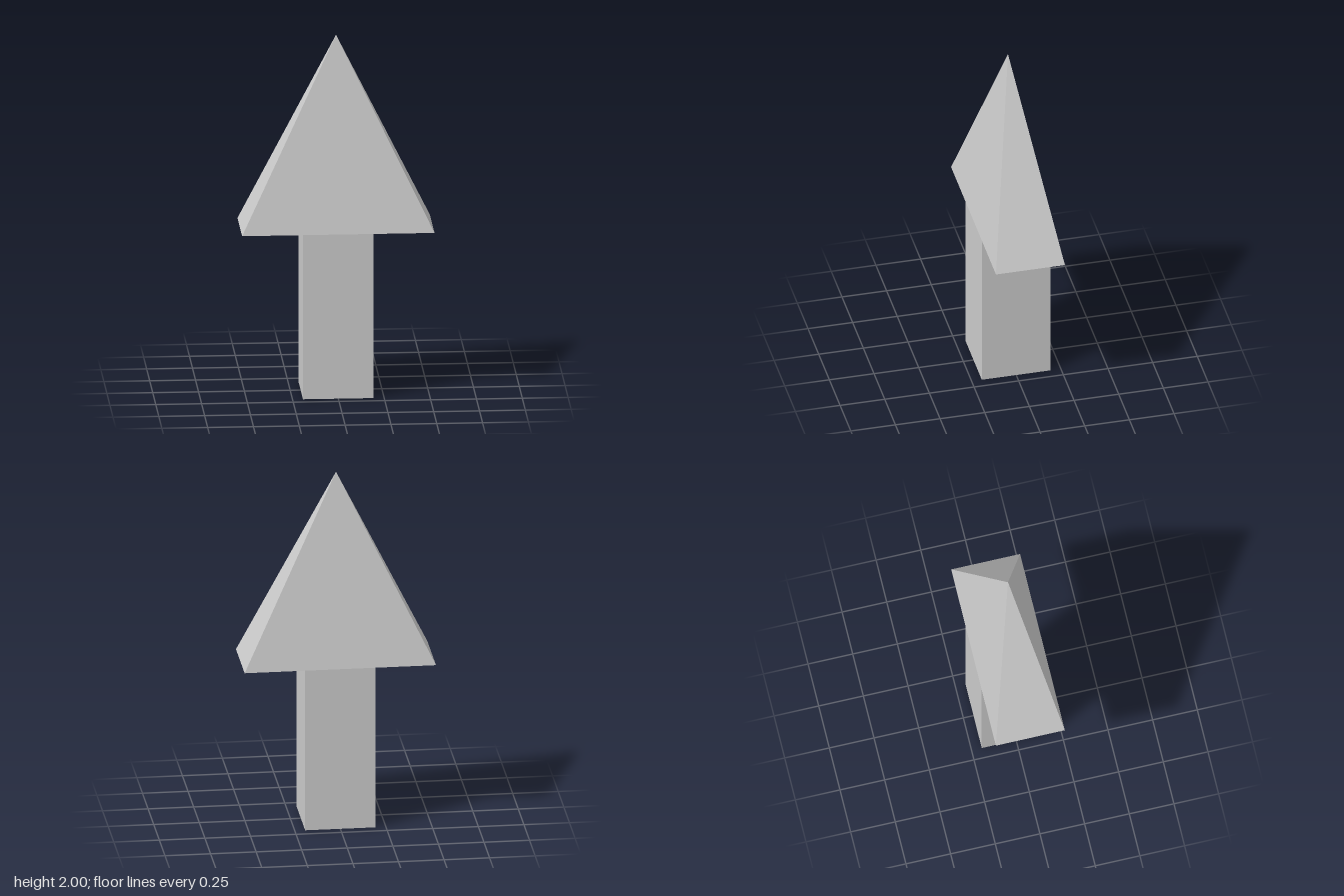
import * as THREE from 'three';

const HEIGHT = 2;
const SHAFT_HEIGHT = 0.925;
const DEPTH = 0.386; // shared by shaft and head
const HEAD_WIDTH = 1.05;

export function createModel() {
  const model = new THREE.Group();
  model.name = 'arrow';
  const material = new THREE.MeshStandardMaterial({ color: 0xcccccc, flatShading: true });

  // Square shaft standing on the ground
  const shaftGeometry = new THREE.BoxGeometry(DEPTH, SHAFT_HEIGHT, DEPTH);
  shaftGeometry.translate(0, SHAFT_HEIGHT / 2, 0);
  const shaft = new THREE.Mesh(shaftGeometry, material);
  shaft.name = 'shaft';

  // Head: a four-sided pyramid with a unit square base, stretched wide
  const headHeight = HEIGHT - SHAFT_HEIGHT;
  const headGeometry = new THREE.ConeGeometry(Math.SQRT1_2, headHeight, 4, 1, false, Math.PI / 4);
  headGeometry.scale(HEAD_WIDTH, 1, DEPTH);
  headGeometry.translate(0, SHAFT_HEIGHT + headHeight / 2, 0);
  const head = new THREE.Mesh(headGeometry, material);
  head.name = 'arrowHead';

  model.add(shaft, head);
  return model;
}
